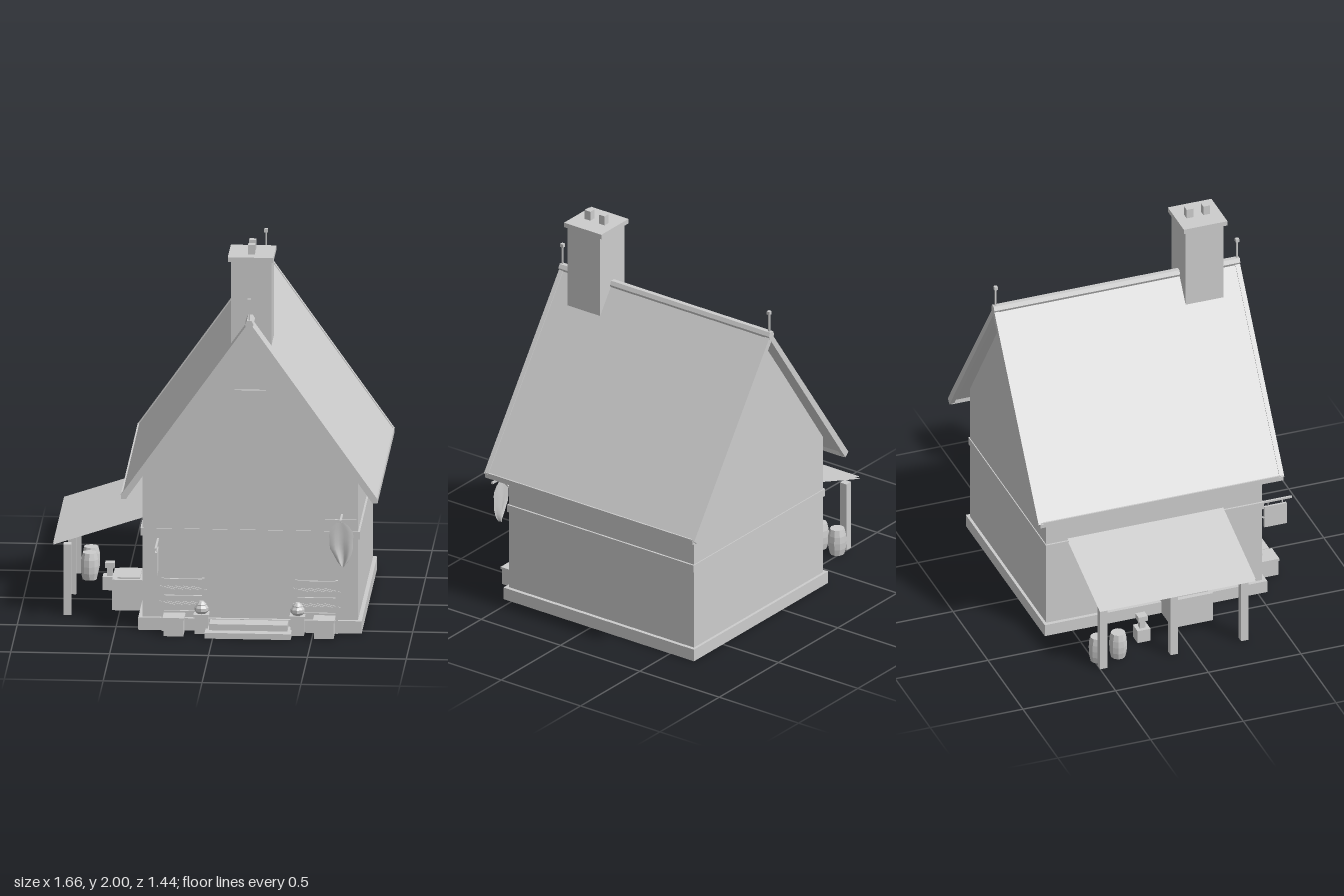
import * as THREE from 'three';

const CX = 0.18; // centre line of the house

export function createModel() {
  const root = new THREE.Group();
  root.name = 'cottage';
  const stone = new THREE.MeshStandardMaterial({ color: 0xcccccc });
  stone.name = 'plain grey';
  const sheet = new THREE.MeshStandardMaterial({ color: 0xcccccc, side: THREE.DoubleSide });
  sheet.name = 'plain grey sheet';

  const add = (name, geo, mat = stone, parent = root) => {
    const m = new THREE.Mesh(geo, mat);
    m.name = name;
    parent.add(m);
    return m;
  };
  // box given by its limits
  const box = (name, x0, x1, y0, y1, z0, z1, parent = root) => {
    const m = add(name, new THREE.BoxGeometry(x1 - x0, y1 - y0, z1 - z0), stone, parent);
    m.position.set((x0 + x1) / 2, (y0 + y1) / 2, (z0 + z1) / 2);
    return m;
  };
  // thin square bar between two points
  const bar = (name, a, b, t, parent = root) => {
    const p = new THREE.Vector3(...a), q = new THREE.Vector3(...b);
    const m = add(name, new THREE.BoxGeometry(t, t, p.distanceTo(q)), stone, parent);
    m.position.copy(p).add(q).multiplyScalar(0.5);
    m.lookAt(q);
    return m;
  };
  // outline in x and y, pushed along z
  const prism = (name, pts, z0, z1, parent = root) => {
    const shape = new THREE.Shape(pts.map(p => new THREE.Vector2(...p)));
    const m = add(name, new THREE.ExtrudeGeometry(shape, { depth: z1 - z0, bevelEnabled: false }), stone, parent);
    m.position.z = z0;
    return m;
  };
  const turned = (name, pts, sides, x, z, parent = root) => {
    const geo = new THREE.LatheGeometry(pts.map(p => new THREE.Vector2(...p)), sides).toNonIndexed();
    geo.computeVertexNormals();
    const m = add(name, geo, stone, parent);
    m.position.set(x, 0, z);
    return m;
  };

  // walls, plinth and string course
  prism('walls', [[-0.365, 0], [0.725, 0], [0.725, 0.82], [CX, 1.605], [-0.365, 0.82]], -0.635, 0.53);
  box('plinth', -0.385, 0.745, 0, 0.065, -0.65, 0.55);
  box('stringCourse', -0.375, 0.735, 0.49, 0.53, -0.64, 0.535);
  box('gableShutter', 0.10, 0.26, 1.075, 1.265, 0.53, 0.545);

  // roof slopes with bargeboards and eave boards
  const roof = new THREE.Group();
  roof.name = 'roof';
  root.add(roof);
  for (const s of [-1, 1]) {
    const side = pts => {
      const out = pts.map(([x, y]) => [CX + s * x, y]);
      return s > 0 ? out : out.reverse();
    };
    prism('roofSlope', side([[0, 1.60], [0.63, 0.71], [0.645, 0.722], [0, 1.635]]), -0.70, 0.595, roof);
    for (const z of [-0.715, 0.585])
      prism('bargeboard', side([[0, 1.593], [0.625, 0.70], [0.65, 0.722], [0, 1.642]]), z, z + 0.025, roof);
    box('eaveBoard', CX + s * 0.635 - 0.014, CX + s * 0.635 + 0.014, 0.70, 0.728, -0.705, 0.605, roof);
  }
  prism('ridge', [[0.168, 1.607], [0.192, 1.607], [0.202, 1.628], [0.192, 1.648], [0.168, 1.648], [0.158, 1.628]], -0.717, 0.61, roof);
  for (const z of [-0.702, 0.60]) {
    box('finialPole', CX - 0.004, CX + 0.004, 1.64, 1.745, z - 0.004, z + 0.004, roof);
    box('finialTop', CX - 0.009, CX + 0.009, 1.742, 1.76, z - 0.009, z + 0.009, roof);
  }

  // chimney
  box('chimneyStack', 0.08, 0.285, 1.4, 1.925, 0.285, 0.49);
  box('chimneyCap', 0.065, 0.295, 1.925, 1.95, 0.27, 0.505);
  for (const z of [0.34, 0.43]) box('chimneyPot', 0.163, 0.198, 1.95, 2.0, z - 0.018, z + 0.018);

  // lean-to shelter: two thin skins on three posts
  const leanTo = new THREE.Group();
  leanTo.name = 'leanTo';
  root.add(leanTo);
  const run = 0.465, drop = 0.155;
  for (const y of [0, -0.012]) {
    const m = add('leanToRoof', new THREE.PlaneGeometry(Math.hypot(run, drop), 0.84).rotateX(-Math.PI / 2), sheet, leanTo);
    m.rotation.z = Math.atan2(drop, run);
    m.position.set(-0.83 + run / 2, 0.385 + drop / 2 + y, -0.10);
  }
  for (const z of [-0.48, -0.10, 0.28]) box('leanToPost', -0.78, -0.74, 0, 0.37, z - 0.02, z + 0.02, leanTo);

  // goods under the shelter
  for (const z of [-0.48, -0.37])
    turned('barrel', [[0, 0], [0.037, 0], [0.045, 0.035], [0.047, 0.07], [0.045, 0.105], [0.037, 0.14], [0, 0.14]], 10, -0.69, z);
  box('choppingBlock', -0.612, -0.543, 0, 0.07, -0.235, -0.165);
  box('blockNeck', -0.592, -0.563, 0.07, 0.115, -0.215, -0.185);
  box('blockHead', -0.60, -0.552, 0.113, 0.14, -0.225, -0.175);
  box('crate', -0.54, -0.36, 0, 0.16, -0.02, 0.2);
  box('crateLid', -0.515, -0.40, 0.16, 0.168, 0, 0.18);

  // front steps
  box('lowerStep', -0.04, 0.395, 0, 0.03, 0.5, 0.69);
  box('upperStep', -0.02, 0.375, 0.03, 0.062, 0.5, 0.64);

  // trellis, planter and potted pedestal on both sides of the steps
  for (const s of [-1, 1]) {
    const set = new THREE.Group();
    set.name = s < 0 ? 'rightGarden' : 'leftGarden';
    set.position.x = CX;
    root.add(set);
    const mid = d => s * d;
    const span = (name, c, w, y0, y1, z0, z1) => box(name, mid(c) - w / 2, mid(c) + w / 2, y0, y1, z0, z1, set);
    for (const c of [0.235, 0.44]) span('trellisPost', c, 0.012, 0, 0.28, 0.552, 0.566);
    for (const y of [0.095, 0.175, 0.262]) span('trellisRail', 0.3375, 0.215, y, y + 0.012, 0.55, 0.562);
    for (const y of [0.107, 0.187])
      for (let i = 0; i < 5; i++) {
        const x = mid(0.3375) - 0.08 + i * 0.04;
        bar('trellisSlat', [x - 0.012, y, 0.562], [x + 0.012, y + 0.078, 0.566], 0.007, set);
      }
    span('planter', 0.38, 0.10, 0, 0.085, 0.565, 0.66);
    span('planterRim', 0.38, 0.11, 0.085, 0.097, 0.56, 0.665);
    span('pedestal', 0.243, 0.068, 0, 0.092, 0.545, 0.61);
    span('pedestalTop', 0.243, 0.078, 0.092, 0.102, 0.54, 0.615);
    turned('pot', [[0, 0.102], [0.024, 0.102], [0.036, 0.116], [0.036, 0.132], [0.026, 0.145], [0.026, 0.15], [0.012, 0.165], [0, 0.165]],
      8, mid(0.243), 0.578, set);
  }

  // hanging sign board
  box('signArm', -0.291, -0.281, 0.467, 0.477, 0.52, 0.72);
  box('signBoard', -0.292, -0.28, 0.325, 0.445, 0.57, 0.69);
  for (const z of [0.592, 0.668]) box('signLink', -0.288, -0.284, 0.44, 0.47, z - 0.002, z + 0.002);
  bar('signBrace', [-0.286, 0.40, 0.53], [-0.286, 0.38, 0.57], 0.007);

  // banner on a bracket
  bar('bannerArm', [0.645, 0.617, 0.52], [0.645, 0.617, 0.65], 0.01);
  bar('bannerBrace', [0.645, 0.612, 0.64], [0.645, 0.54, 0.53], 0.008);
  bar('bannerRod', [0.565, 0.617, 0.637], [0.725, 0.617, 0.637], 0.01);
  const cloth = new THREE.PlaneGeometry(1, 1, 8, 10);
  const pos = cloth.attributes.position;
  const edges = [[0.62, 0.665], [0.60, 0.69], [0.588, 0.705], [0.586, 0.71], [0.588, 0.706], [0.588, 0.706],
    [0.592, 0.706], [0.605, 0.70], [0.617, 0.692], [0.63, 0.68], [0.648, 0.66]];
  for (let i = 0; i < pos.count; i++) {
    const u = pos.getX(i) + 0.5, v = 0.5 - pos.getY(i);
    const [a, b] = edges[Math.round(v * 10)];
    pos.setXYZ(i, a + (b - a) * u, 0.605 - 0.23 * v, 0.637 + 0.011 * v * Math.sin(u * 9));
  }
  cloth.computeVertexNormals();
  add('banner', cloth, sheet);

  return root;
}
